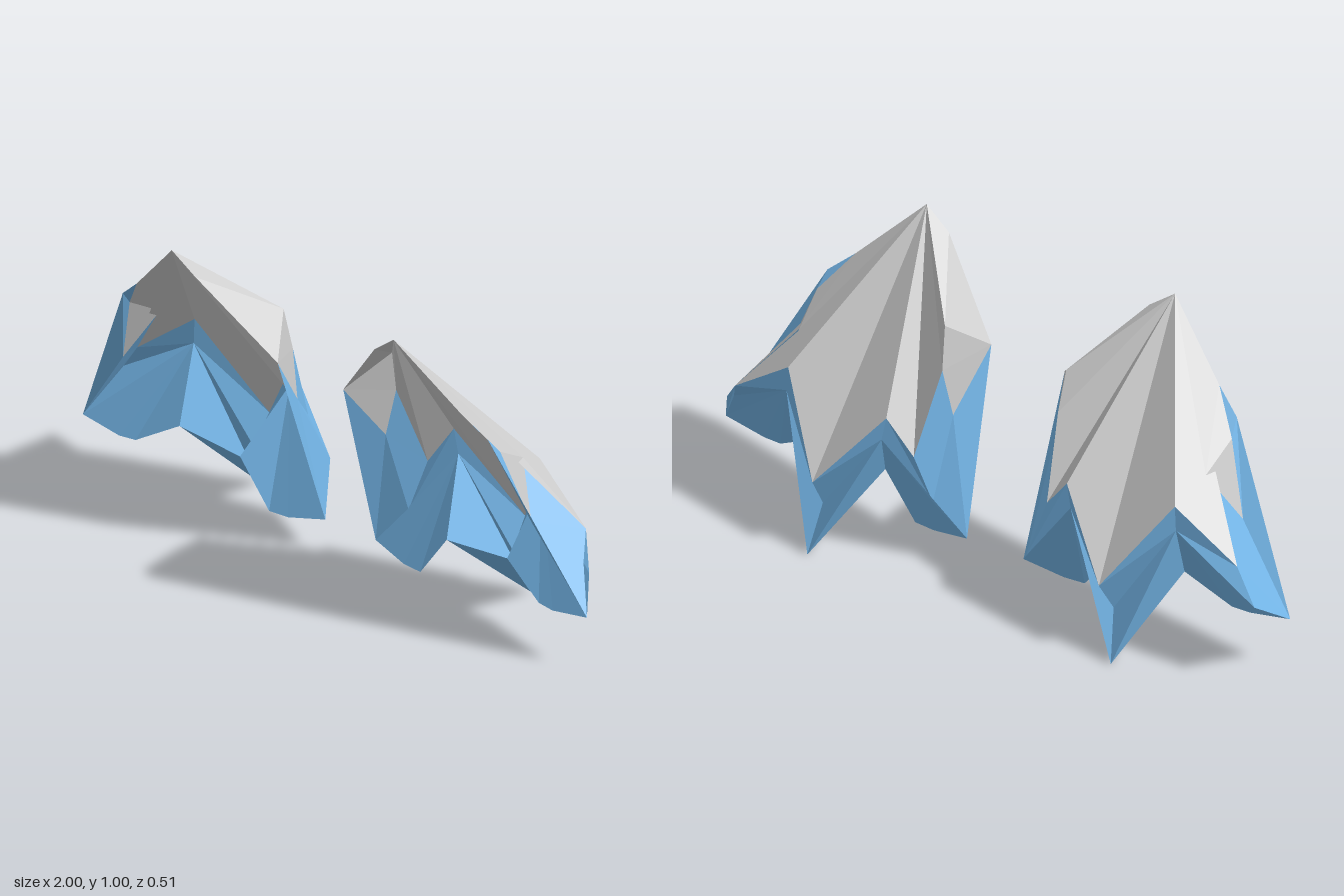
import * as THREE from 'three';

const GREY = 0xcccccc;
const BLUE = 0x74b6e8;

// Named corners of one folded shell, on the +x side
const corners = {
  peak: [0.44, 1.01, 0.255],
  // inner flank
  innerBrow: [0.355, 0.945, 0.245], innerEdge: [0.13, 0.69, 0.13],
  innerRidge: [0.215, 0.795, 0.007], innerBend: [0.205, 0.655, -0.023],
  innerPoint: [0.175, 0.5, -0.01], innerCorner: [0.24, 0.39, -0.125],
  // outer flank
  outerBrow: [0.645, 0.8, 0.18], outerEdge: [0.725, 0.73, 0.152],
  outerStep: [0.735, 0.68, 0.11], outerPoint: [0.81, 0.45, 0.055],
  outerBend: [0.72, 0.61, -0.01], outerCorner: [0.89, 0.395, -0.1],
  // jagged rear hem
  innerNotch: [0.32, 0.515, -0.152], hemTip: [0.525, 0.26, -0.24], outerNotch: [0.685, 0.55, -0.125],
  // fingers
  innerFold: [0.335, 0.435, -0.155], outerFold: [0.69, 0.467, -0.127],
  innerRoot: [0.41, 0.225, -0.018], outerRoot: [0.65, 0.245, -0.018],
  clawHeel: [0.52, 0.162, -0.19], clawTip: [0.535, 0.005, -0.252],
  innerKnuckle: [0.195, 0.225, -0.09], innerTip: [0.1, 0.107, -0.05],
  innerToeA: [0.23, 0.078, -0.03], innerToeB: [0.3, 0.078, -0.024],
  outerKnuckle: [0.96, 0.295, -0.035], outerTip: [1, 0.18, 0.02],
  outerToeA: [0.8, 0.158, 0.01], outerToeB: [0.86, 0.155, 0.016],
};

// Corners that differ on the -x shell, before mirroring
const otherCorners = {
  hemTip: [0.49, 0.26, -0.24], clawHeel: [0.51, 0.162, -0.19], clawTip: [0.54, 0.005, -0.252],
  innerKnuckle: [0.195, 0.23, -0.18], innerCorner: [0.225, 0.39, -0.115],
  outerKnuckle: [0.97, 0.295, -0.13],
};

// Each panel is a fan of triangles around its first corner
const parts = [
  { name: 'roof', color: GREY, panels: [
    'peak innerRidge innerBend innerCorner innerNotch hemTip outerNotch outerCorner outerBend',
  ] },
  { name: 'innerFlankPlate', color: GREY, panels: [
    'innerRidge peak innerBrow innerEdge innerBend', 'innerEdge innerBend innerPoint',
  ] },
  { name: 'outerFlankPlate', color: GREY, panels: [
    'outerBend peak outerBrow outerStep outerPoint',
  ] },
  { name: 'innerFlank', color: BLUE, panels: [
    'innerPoint innerEdge innerTip innerKnuckle innerCorner innerBend',
  ] },
  { name: 'outerFlank', color: BLUE, panels: [
    'outerBrow outerEdge outerStep',
    'outerPoint outerStep outerEdge outerTip outerCorner outerBend',
    'outerTip outerKnuckle outerCorner',
  ] },
  { name: 'innerFinger', color: BLUE, panels: [
    'innerFold innerKnuckle innerTip innerToeA innerToeB innerRoot',
    'innerNotch innerCorner innerKnuckle innerFold',
  ] },
  { name: 'outerFinger', color: BLUE, panels: [
    'outerFold outerCorner outerKnuckle outerTip outerToeB outerToeA outerRoot',
    'outerNotch outerCorner outerFold',
  ] },
  { name: 'middleClaw', color: BLUE, panels: [
    'innerFold innerRoot clawTip clawHeel hemTip innerNotch',
    'outerFold outerRoot clawTip clawHeel hemTip outerNotch',
    'innerRoot outerRoot clawTip',
  ] },
];

function buildPart({ name, color, panels }, points, side) {
  const positions = [];
  for (const panel of panels) {
    const fan = panel.split(' ').map((key) => points[key]);
    for (let i = 1; i < fan.length - 1; i++) {
      for (const [x, y, z] of [fan[0], fan[i], fan[i + 1]]) positions.push(x * side, y, z);
    }
  }
  const geometry = new THREE.BufferGeometry();
  geometry.setAttribute('position', new THREE.Float32BufferAttribute(positions, 3));
  geometry.computeVertexNormals();
  const mesh = new THREE.Mesh(geometry, new THREE.MeshStandardMaterial({
    color, flatShading: true, side: THREE.DoubleSide,
  }));
  mesh.name = name;
  return mesh;
}

export function createModel() {
  const model = new THREE.Group();
  model.name = 'shellPair';
  for (const side of [1, -1]) {
    const shell = new THREE.Group();
    shell.name = side > 0 ? 'leftShell' : 'rightShell';
    const points = side > 0 ? corners : { ...corners, ...otherCorners };
    for (const part of parts) shell.add(buildPart(part, points, side));
    model.add(shell);
  }
  return model;
}
